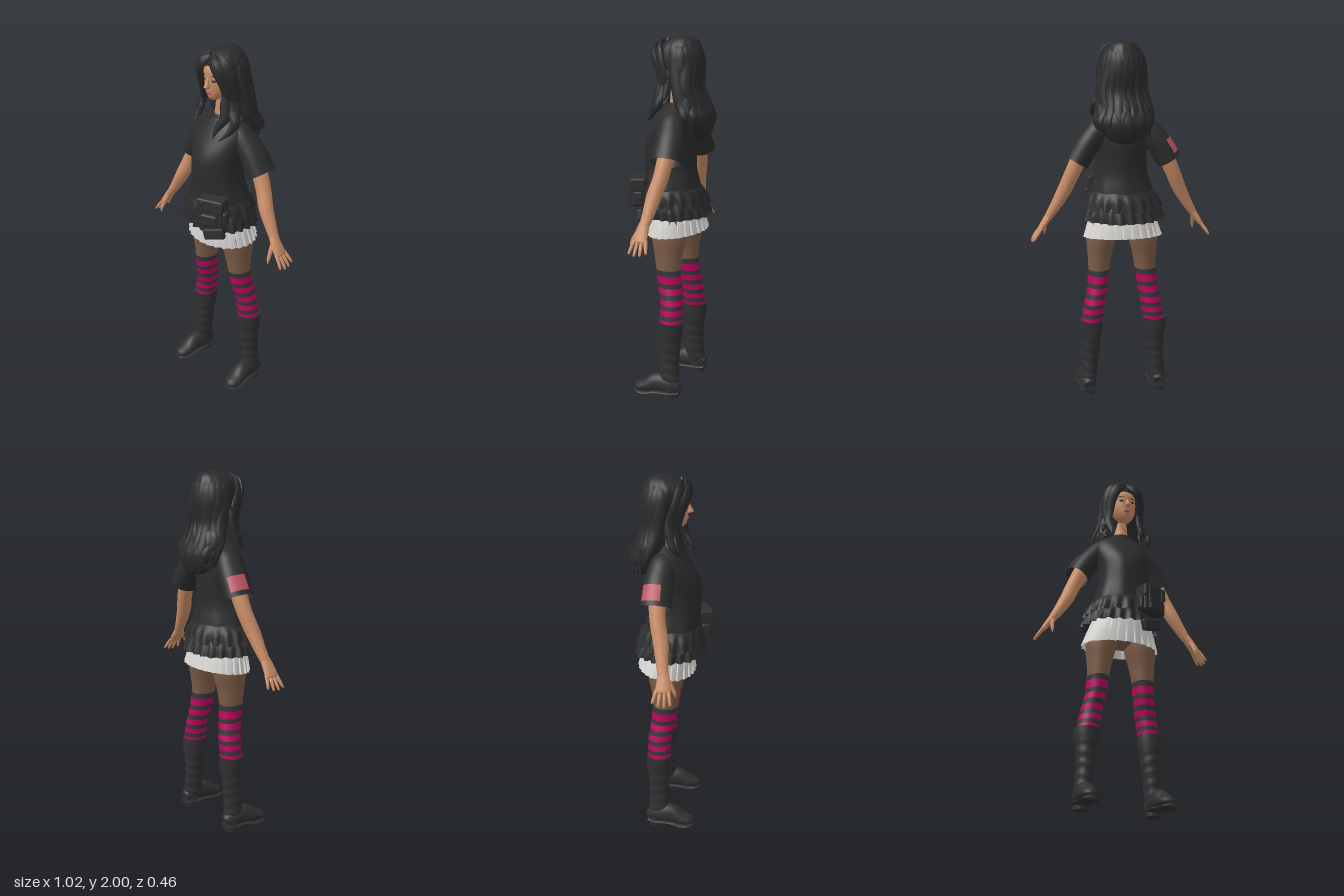
import * as THREE from 'three';
import { toCreasedNormals } from 'three/addons/utils/BufferGeometryUtils.js';
import { RoundedBoxGeometry } from 'three/addons/geometries/RoundedBoxGeometry.js';

const mat = (name, color, side = THREE.FrontSide) => {
  const m = new THREE.MeshStandardMaterial({ color, side });
  m.name = name;
  return m;
};
const M = {
  skin: mat('skin', 0xc98d67),
  hair: mat('hair black', 0x2b2b2c, THREE.DoubleSide),
  cloth: mat('shirt black', 0x2c2c2d, THREE.DoubleSide),
  leather: mat('leather black', 0x303031),
  sock: mat('sock grey', 0x37353a),
  pink: mat('stripe magenta', 0xb8075c),
  tights: mat('tights brown', 0x7d5d48),
  white: mat('skirt white', 0xd9d7d4, THREE.DoubleSide),
  patch: mat('patch rose', 0xbd5564, THREE.DoubleSide),
  lips: mat('lips', 0xa85a66),
};
const V = (x, y, z) => new THREE.Vector3(x, y, z);

// Skin a tube over rings [x, y, z, radius across, radius along ref]
function sweep(rings, o = {}) {
  const { steps = 5, seg = 24, ref = () => V(0, 0, 1), level = false, mod = () => 1, cap = true, arc = [0, Math.PI * 2] } = o;
  const path = new THREE.CatmullRomCurve3(rings.map(r => V(r[0], r[1], r[2])), false, 'catmullrom');
  const size = new THREE.CatmullRomCurve3(rings.map(r => V(r[3], r[4], 0)), false, 'catmullrom');
  const n = (rings.length - 1) * steps, pos = [], idx = [];
  for (let i = 0; i <= n; i++) {
    const v = i / n, c = path.getPoint(v), s = size.getPoint(v);
    const t = level ? V(0, -1, 0) : path.getTangent(v);
    const b = ref(c).normalize();
    b.addScaledVector(t, -b.dot(t)).normalize();
    const a = b.clone().cross(t);
    for (let j = 0; j <= seg; j++) {
      const th = arc[0] + (arc[1] - arc[0]) * j / seg, k = mod(th, v);
      const p = c.clone().addScaledVector(a, s.x * k * Math.cos(th)).addScaledVector(b, s.y * k * Math.sin(th));
      pos.push(p.x, p.y, p.z);
      if (i < n && j < seg) {
        const q = i * (seg + 1) + j, w = q + seg + 1;
        idx.push(q, q + 1, w, q + 1, w + 1, w);
      }
    }
  }
  if (cap) for (const [i, flip] of [[0, true], [n, false]]) {
    const c = path.getPoint(i / n), k = pos.length / 3, row = i * (seg + 1);
    pos.push(c.x, c.y, c.z);
    for (let j = 0; j < seg; j++) flip ? idx.push(k, row + j + 1, row + j) : idx.push(k, row + j, row + j + 1);
  }
  const g = new THREE.BufferGeometry();
  g.setAttribute('position', new THREE.Float32BufferAttribute(pos, 3));
  g.setIndex(idx);
  return toCreasedNormals(g, 0.9);
}

// Ring at height y, between key rings listed from top to bottom
function ringAt(keys, y, grow = 0) {
  let i = 0;
  while (i < keys.length - 2 && keys[i + 1][1] > y) i++;
  const f = (keys[i][1] - y) / (keys[i][1] - keys[i + 1][1]);
  return keys[i].map((k, c) => k + (keys[i + 1][c] - k) * f + (c > 2 ? grow : 0));
}

export function createModel() {
  const model = new THREE.Group();
  model.name = 'girl';
  const add = (name, geo, material, parent = model) => {
    const m = new THREE.Mesh(geo, material);
    m.name = name;
    parent.add(m);
    return m;
  };
  const blob = (name, material, p, s) => {
    const m = add(name, new THREE.SphereGeometry(1, 20, 14), material);
    m.position.set(...p);
    m.scale.set(...s);
    return m;
  };

  // Head, face and neck
  add('head', sweep([[0, 1.95, -.02, .05, .06], [0, 1.9, -.01, .08, .1], [0, 1.84, -.008, .082, .1], [0, 1.79, 0, .072, .088],
    [0, 1.75, .015, .045, .066], [0, 1.73, .03, .02, .036]], { level: true }), M.skin);
  add('neck', sweep([[0, 1.79, -.02, .042, .042], [0, 1.7, -.02, .038, .04], [0, 1.62, -.02, .05, .048]], { level: true }), M.skin);
  add('nose', sweep([[0, 1.86, .086, .006, .006], [0, 1.825, .096, .01, .014], [0, 1.808, .1, .014, .019], [0, 1.798, .088, .008, .008]], { level: true, seg: 12 }), M.skin);
  blob('lips', M.lips, [0, 1.775, .087], [.019, .009, .007]);
  for (const s of [-1, 1]) {
    blob('eye', M.hair, [s * .034, 1.842, .083], [.014, .006, .004]).rotation.y = s * .4;
    blob('eyebrow', M.hair, [s * .034, 1.868, .083], [.018, .003, .004]).rotation.y = s * .4;
  }

  // Hair mass with shallow grooves, then loose locks
  add('hair', sweep([[0, 2, -.05, .006, .006], [0, 1.985, -.05, .06, .068], [0, 1.94, -.035, .1, .112], [.003, 1.88, -.045, .116, .118],
    [.003, 1.8, -.063, .122, .098], [0, 1.71, -.075, .125, .075], [0, 1.65, -.1, .145, .085], [0, 1.57, -.14, .145, .085], [0, 1.49, -.15, .1, .055], [0, 1.46, -.15, .04, .03]],
  { level: true, seg: 72, mod: (t, v) => 1 + .03 * Math.min(1, v * 3) * Math.sin(13 * t + 5 * v) }), M.hair);
  const lock = (pts, w, d) => {
    const taper = [.35, .9, 1, 1, .85, .6, .06];
    add('hairLock', sweep(pts.map((p, i) => {
      const k = taper[Math.round(i / (pts.length - 1) * 6)];
      return [...p, w * k, d * k];
    }), { seg: 12, ref: p => V(p.x, 0, p.z + .05) }), M.hair);
  };
  for (let i = 0; i < 11; i++) {
    const f = -1.6 + i * .32, s = Math.sin(f), c = Math.cos(f), e = i % 2 ? .03 : 0, u = i % 3 * .012;
    lock([[.05 * s, 1.975, -.05 - .06 * c], [.1 * s, 1.92, -.045 - .098 * c], [.118 * s, 1.84, -.05 - .107 * c], [.123 * s + u, 1.73, -.075 - .07 * c],
      [.145 * s, 1.64, -.105 - .078 * c], [.148 * s + u, 1.57, -.13 - .083 * c], [.125 * s - u, 1.5 - e, -.13 - .075 * c]], .032, .014);
  }
  for (const s of [-1, 1]) {
    // Parted fringe and side curls
    lock([[s * .004, 1.965, .07], [s * .045, 1.935, .09], [s * .078, 1.89, .085], [s * .094, 1.83, .058], [s * .097, 1.76, .04], [s * .11, 1.7, .035], [s * .15, 1.655, .045]], .034, .016);
    lock([[s * .02, 1.975, .05], [s * .075, 1.94, .055], [s * .105, 1.88, .045], [s * .112, 1.81, .025], [s * .11, 1.73, .015], [s * .125, 1.67, .0], [s * .165, 1.64, .0]], .036, .016);
    lock([[s * .1, 1.82, 0], [s * .112, 1.74, 0], [s * .125, 1.68, .01], [s * .14, 1.63, .03], [s * .12, 1.585, .07]], .026, .018);
  }
  lock([[.085, 1.8, .05], [.09, 1.72, .055], [.1, 1.66, .065], [.075, 1.6, .1], [.065, 1.545, .125]], .028, .018);
  lock([[.1, 1.78, .03], [.115, 1.7, .03], [.15, 1.64, .04], [.135, 1.585, .075], [.1, 1.54, .12]], .028, .018);
  lock([[-.1, 1.78, .03], [-.1, 1.7, .04], [-.09, 1.65, .06], [-.095, 1.61, .085]], .024, .016);

  // Loose shirt
  add('shirt', sweep([[0, 1.64, -.02, .055, .052], [0, 1.622, -.02, .09, .066], [0, 1.585, -.02, .145, .088], [0, 1.53, -.008, .165, .112], [0, 1.45, .01, .155, .14],
    [0, 1.38, .02, .143, .147], [0, 1.28, .02, .147, .143], [0, 1.18, .01, .172, .152], [0, 1.07, 0, .185, .16]],
  { level: true, seg: 48, mod: (t, v) => 1 + .025 * v * v * Math.sin(9 * t + 4 * v) }), M.cloth);
  const collar = add('collar', new THREE.TorusGeometry(.056, .007, 8, 32), M.cloth);
  collar.rotation.x = Math.PI / 2 + .1;
  collar.position.set(0, 1.637, -.018);

  // Two gathered hem ruffles
  const frill = (p, n) => (t, v) => 1 + v * (.055 * Math.sin(n * t + p) + .03 * Math.sin(7 * t + p * 2));
  add('upperRuffle', sweep([[0, 1.18, .01, .172, .152], [-.005, 1.14, .005, .198, .172], [-.01, 1.08, 0, .212, .182]], { level: true, seg: 144, cap: false, mod: frill(1, 19) }), M.cloth);
  add('lowerRuffle', sweep([[0, 1.12, 0, .185, .16], [-.005, 1.07, -.003, .21, .178], [-.01, 1.02, -.008, .22, .188]], { level: true, seg: 144, cap: false, mod: frill(2, 23) }), M.cloth);

  // Pleated skirt, dipping to the front
  const pleat = (t, v) => 1 + .07 * v * ((t * 26 / (Math.PI * 2)) % 1 - .5);
  const skirt = add('skirt', sweep([[0, 1.09, -.015, .165, .14], [-.003, 1, -.015, .195, .15], [-.005, .922, -.015, .217, .16]], { level: true, seg: 208, steps: 3, cap: false, mod: pleat }), M.white);
  skirt.rotation.x = .1;
  skirt.position.z = -.1;
  blob('hips', M.tights, [0, 1.03, -.02], [.165, .1, .125]);

  // Shoulder strap and bag
  add('bagStrap', sweep([[.04, 1.2, .172], [.075, 1.32, .153], [.11, 1.43, .12], [.137, 1.53, .073], [.138, 1.602, -.02], [.135, 1.5, -.085], [.135, 1.35, -.06], [.18, 1.2, -.03], [.2, 1.15, .08]],
    { seg: 10, ref: p => V(p.x, p.y - 1.35, p.z) }).scale(1.01, 1, 1.01), M.leather).scale.set(1, 1, 1);
  const bag = new THREE.Group();
  bag.name = 'bag';
  model.add(bag);
  bag.position.set(.108, 1.15, .165);
  bag.rotation.y = .33;
  const box = (name, w, h, d, x, y, z, rz = 0, r = .012) => {
    const m = add(name, new RoundedBoxGeometry(w, h, d, 3, r), M.leather, bag);
    m.position.set(x, y, z);
    m.rotation.z = rz;
  };
  box('bagBody', .145, .145, .075, 0, 0, 0);
  box('bagFlap', .155, .075, .088, 0, .048, .002);
  box('frontPocket', .095, .07, .03, 0, -.035, .04);
  box('pocketFlap', .1, .025, .036, 0, -.01, .041);
  for (const s of [-1, 1]) {
    box('bagTab', .014, .1, .01, s * .045, .02, .048, 0, .004);
    box('sidePocket', .03, .08, .05, s * .075, -.025, 0);
  }
  box('hangingPouch', .125, .065, .035, .005, -.135, -.005, .25);

  for (const s of [-1, 1]) {
    const side = s > 0 ? 'left' : 'right';
    const flip = rings => rings.map(r => [r[0] * s, ...r.slice(1)]);
    const part = (name, rings, material, o) => add(side + name, sweep(flip(rings), o), material);

    // Sleeve and arm
    const sleeve = [[.115, 1.545, -.035, .06, .068], [.19, 1.455, -.05, .067, .08], [.255, 1.35, -.055, .069, .086]];
    part('Sleeve', sleeve, M.cloth, { cap: false, seg: 32 });
    part('Shoulder', [[.07, 1.585, -.03, .03, .05], ...sleeve.slice(0, 2)], M.cloth, {});
    if (s < 0) part('SleevePatch', [1.445, 1.41, 1.372].map(y => ringAt(sleeve, y, .004)), M.patch, { cap: false, arc: [Math.PI - .3, Math.PI + 1] });
    part('Arm', [[.2, 1.45, -.05, .045, .046], [.24, 1.37, -.05, .044, .045], [.285, 1.27, -.04, .041, .042], [.325, 1.18, -.02, .038, .041], [.375, 1.09, -.008, .029, .033], [.41, 1.035, 0, .022, .028]], M.skin);
    part('Palm', [[.4, 1.05, 0, .022, .028], [.43, 1.005, .004, .019, .037], [.458, .965, .004, .013, .04], [.463, .957, .004, .006, .034]], M.skin);
    for (let i = 0; i < 4; i++) {
      const z = .034 - i * .021, l = [.9, 1, .97, .8][i], tip = z * 1.5 - .004;
      part('Finger', [[.452, .972, z, .009, .01], [.452 + .028 * l, .972 - .036 * l, (z + tip) / 2, .009, .0095], [.452 + .05 * l, .972 - .07 * l, tip, .006, .007], [.452 + .053 * l, .972 - .075 * l, tip, .001, .001]], M.skin, { seg: 10, steps: 3 });
    }
    part('Thumb', [[.415, 1.02, .02, .012, .014], [.423, .98, .047, .011, .012], [.426, .945, .064, .009, .009], [.427, .92, .07, .002, .002]], M.skin, { seg: 10 });

    // Thigh and striped knee sock
    part('Thigh', [[.1, 1.04, -.02, .08, .1], [.117, .92, -.018, .084, .101], [.127, .81, -.017, .067, .08], [.133, .71, -.018, .057, .066]], M.tights, { level: true });
    const sock = [[.133, .735, -.018, .062, .071], [.142, .63, -.032, .056, .068], [.16, .54, -.05, .059, .064], [.18, .42, -.052, .061, .064]];
    const edges = [.73, .7, .657, .632, .597, .57, .537, .513, .482, .458, .425];
    for (let i = 0; i < edges.length - 1; i++)
      part(i % 2 ? 'SockStripe' : 'SockBand', [ringAt(sock, edges[i]), ringAt(sock, edges[i + 1])], i % 2 ? M.pink : M.sock, { level: true, cap: i === 0, steps: 2 });

    // Boot: cuff, creased shaft, foot, sole and heel
    part('BootCuff', [[.182, .44, -.052, .068, .069], [.182, .4, -.052, .068, .069], [.182, .355, -.052, .064, .067]], M.leather, { level: true });
    part('BootShaft', [[.182, .37, -.052, .058, .063], [.185, .28, -.05, .053, .058], [.19, .2, -.05, .047, .055], [.197, .12, -.051, .046, .056], [.203, .05, -.055, .045, .056]], M.leather,
      { level: true, steps: 9, mod: (t, v) => 1 + .035 * Math.sin(34 * v + 1.5 * Math.sin(t + s)) });
    const foot = [[.2, .058, -.112, .03, .03], [.203, .072, -.06, .046, .054], [.207, .075, .02, .046, .056], [.212, .053, .08, .049, .038], [.216, .041, .13, .04, .026], [.218, .034, .152, .016, .012]];
    const up = { ref: () => V(0, 1, 0) };
    part('BootFoot', foot, M.leather, up);
    part('Sole', foot.map((r, i) => [r[0], [.03, .03, .026, .014, .015, .018][i], r[2] * 1.02, r[3] + .004, .012]), M.leather, up);
    part('Heel', [[.203, .045, -.068, .044, .046], [.203, 0, -.066, .04, .042]], M.leather, { level: true });
  }
  return model;
}
